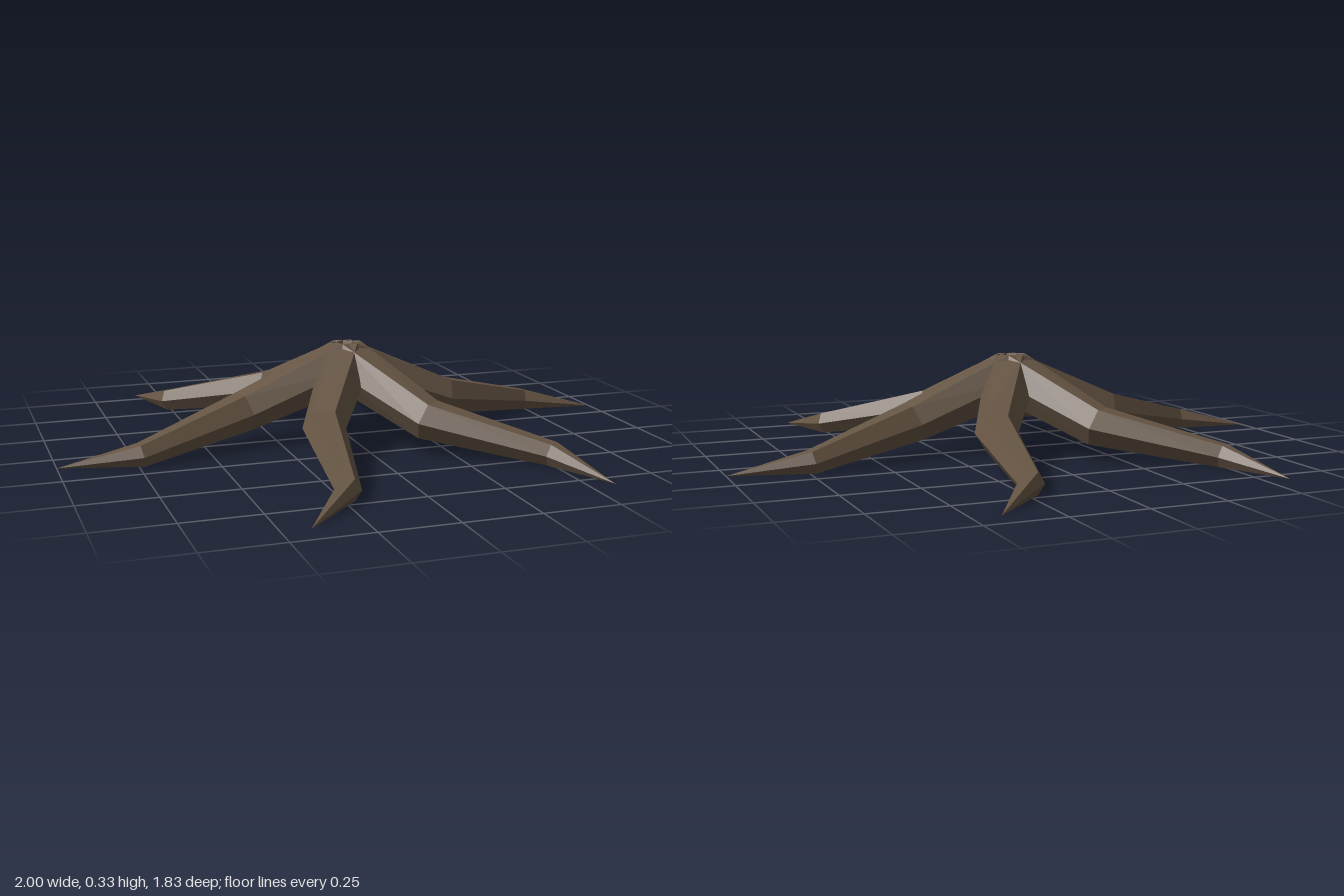
import * as THREE from 'three';

const SIDES = 6;
const ARMS = 6;

// Closed, tapering hexagonal limb swept along a bent centre line
function limbGeometry(path, radii) {
  const last = path.length - 1;
  const pos = [path[0]];
  const index = [];
  const worldUp = new THREE.Vector3(0, 1, 0);
  for (let i = 0; i < last; i++) {
    // each ring is square to the average of the directions in and out
    const t = path[i + 1].clone().sub(path[i]).normalize();
    if (i > 0) t.add(path[i].clone().sub(path[i - 1]).normalize()).normalize();
    const side = t.clone().cross(worldUp).normalize();
    const up = side.clone().cross(t);
    for (let j = 0; j < SIDES; j++) {
      const a = (j / SIDES) * Math.PI * 2;
      pos.push(path[i].clone()
        .addScaledVector(side, radii[i] * Math.cos(a))
        .addScaledVector(up, radii[i] * Math.sin(a)));
    }
  }
  pos.push(path[last]);
  const tip = pos.length - 1;
  const at = (i, j) => 1 + i * SIDES + (j % SIDES);
  for (let j = 0; j < SIDES; j++) {
    index.push(0, at(0, j), at(0, j + 1)); // inner cap
    for (let i = 0; i < last - 1; i++) {
      const a = at(i, j), b = at(i, j + 1), c = at(i + 1, j), d = at(i + 1, j + 1);
      index.push(a, c, b, b, c, d);
    }
    index.push(at(last - 1, j), tip, at(last - 1, j + 1)); // pointed end
  }
  const indexed = new THREE.BufferGeometry().setFromPoints(pos);
  indexed.setIndex(index);
  const geometry = indexed.toNonIndexed();
  geometry.computeVertexNormals();
  return geometry;
}

export function createModel() {
  const model = new THREE.Group();
  model.name = 'rootCluster';

  const bark = new THREE.MeshStandardMaterial({ color: 0x665544, flatShading: true });
  bark.name = 'darkBark';

  // One root: hub, knee, ankle and tip
  const geometry = limbGeometry([
    new THREE.Vector3(0, 0.255, 0),
    new THREE.Vector3(0.357, 0.115, 0),
    new THREE.Vector3(0.74, 0.037, -0.152),
    new THREE.Vector3(1, 0.002, -0.1),
  ], [0.09, 0.07, 0.041]);

  // Six equal roots around the hub
  for (let k = 0; k < ARMS; k++) {
    const root = new THREE.Mesh(geometry, bark);
    root.name = 'root' + (k + 1);
    root.rotation.y = (k / ARMS) * Math.PI * 2;
    model.add(root);
  }
  return model;
}
